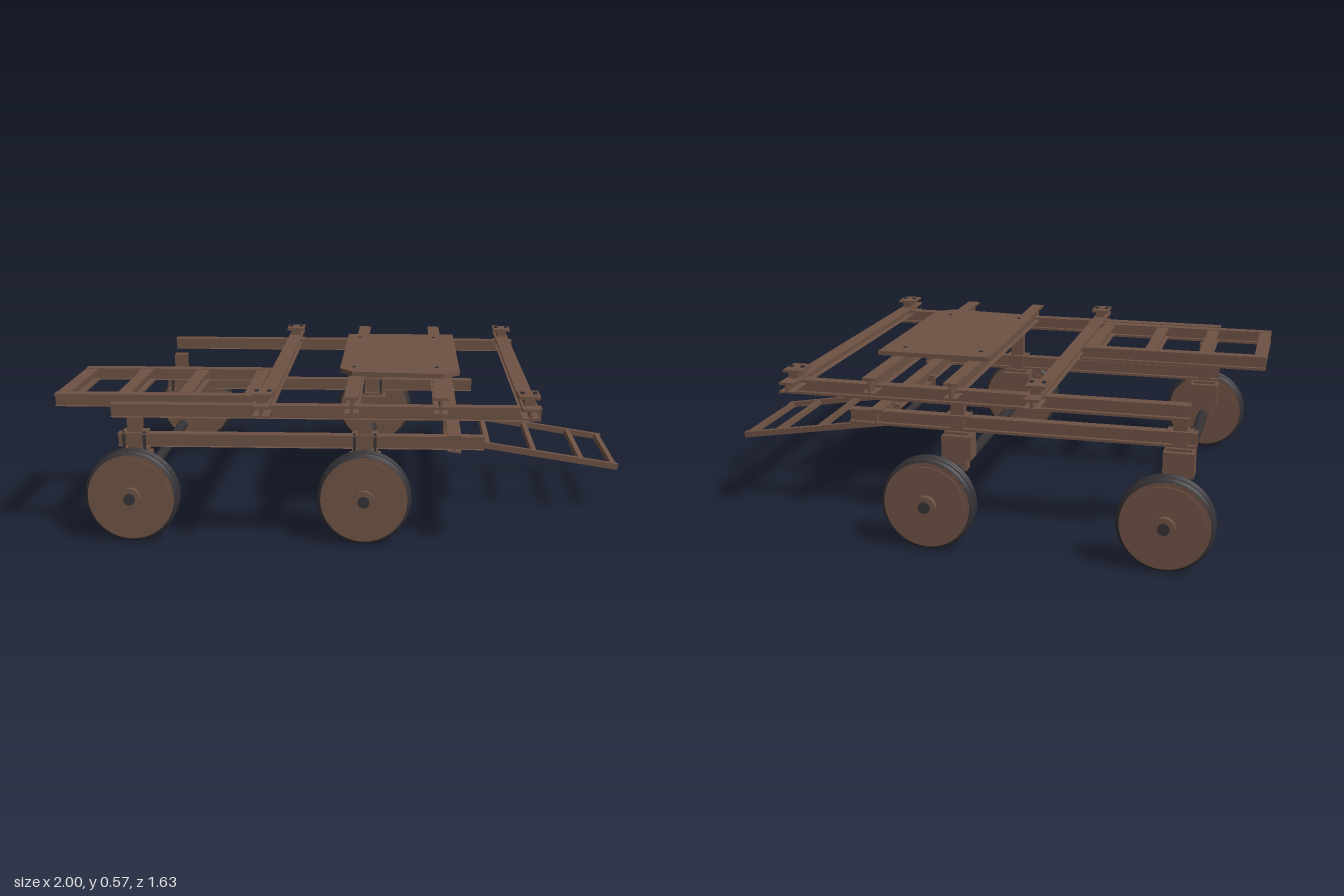
import * as THREE from 'three';

export function createModel() {
  const root = new THREE.Group();
  root.name = 'wagonChassis';
  const brown = new THREE.MeshStandardMaterial({ color: 0x6e5243 });
  brown.name = 'rustBrown';
  const dark = new THREE.MeshStandardMaterial({ color: 0x353235 });
  dark.name = 'darkRubber';

  const add = (name, geo, mat = brown, parent = root) => {
    const m = new THREE.Mesh(geo, mat);
    m.name = name;
    parent.add(m);
    return m;
  };

  // box given by its limits on each axis
  const box = (name, x0, x1, y0, y1, z0, z1, mat = brown) =>
    add(name, new THREE.BoxGeometry(x1 - x0, y1 - y0, z1 - z0), mat)
      .position.set((x0 + x1) / 2, (y0 + y1) / 2, (z0 + z1) / 2);

  // I-section girder running along z, centred on its length
  const girder = (w, h, len, t = 0.009) => {
    const a = w / 2, b = h / 2, c = t / 2;
    const half = [[-a, -b], [a, -b], [a, -b + t], [c, -b + t], [c, b - t], [a, b - t]];
    const pts = [...half, ...half.map(([x, y]) => [-x, -y])].slice(1);
    // second half mirrors the first, so the outline closes on itself
    const shape = new THREE.Shape(pts.map(([x, y]) => new THREE.Vector2(x, y)));
    return new THREE.ExtrudeGeometry(shape, { depth: len, bevelEnabled: false }).translate(0, 0, -len / 2);
  };
  const beamX = (name, x0, x1, y0, y1, z, w) =>
    add(name, girder(w, y1 - y0, x1 - x0).rotateY(Math.PI / 2)).position.set((x0 + x1) / 2, (y0 + y1) / 2, z);
  const beamZ = (name, x, y0, y1, z0, z1, w) =>
    add(name, girder(w, y1 - y0, z1 - z0)).position.set(x, (y0 + y1) / 2, (z0 + z1) / 2);

  const bolt = (x, y, z) =>
    add('bolt', new THREE.CylinderGeometry(0.008, 0.008, 0.008, 6), dark).position.set(x, y, z);

  // lathe about z from [radius, z] pairs
  const latheZ = (pts, n = 40) =>
    new THREE.LatheGeometry(pts.map(([r, z]) => new THREE.Vector2(r, z)), n).rotateX(Math.PI / 2);

  // ---- wheels and axles
  const tyre = latheZ([[0.14, -0.034], [0.152, -0.034], [0.16, -0.026], [0.163, -0.02], [0.163, -0.012],
    [0.156, -0.01], [0.156, -0.006], [0.163, -0.004], [0.163, 0.004], [0.156, 0.006], [0.156, 0.01],
    [0.163, 0.012], [0.163, 0.02], [0.16, 0.026], [0.152, 0.034], [0.14, 0.034]]);
  const cyl = (r, len, n = 24) => new THREE.CylinderGeometry(r, r, len, n).rotateX(Math.PI / 2);
  const axleXs = [-0.74, 0.065];
  const wheelY = 0.163;
  for (const x of axleXs) {
    add('axle', cyl(0.02, 1.42), dark).position.set(x, wheelY, -0.06);
    for (const [z, out] of [[0.631, 1], [-0.751, -1]]) {
      const wheel = new THREE.Group();
      wheel.name = 'wheel';
      wheel.position.set(x, wheelY, z);
      wheel.rotation.y = out > 0 ? 0 : Math.PI;
      root.add(wheel);
      add('tyre', tyre, dark, wheel);
      add('wheelDisc', cyl(0.15, 0.07, 40), brown, wheel);
      add('discFace', cyl(0.136, 0.08, 40), brown, wheel);
      add('hub', cyl(0.037, 0.118), brown, wheel);
      add('axleTip', cyl(0.02, 0.01), dark, wheel).position.z = 0.062;
    }
  }

  // ---- lower frame with axle blocks and posts
  for (const z of [-0.385, 0.55]) {
    beamX('lowerRail', -0.8, 0.48, 0.31, 0.365, z, 0.042);
    for (const x of axleXs) {
      box('axleBlock', x - 0.055, x + 0.055, 0.205, 0.295, z - 0.04, z + 0.04);
      box('blockCap', x - 0.035, x + 0.035, 0.16, 0.21, z - 0.025, z + 0.025);
      box('post', x - 0.025, x + 0.025, 0.29, 0.465, z - 0.02, z + 0.02);
      box('railClampTop', x - 0.045, x + 0.045, 0.365, 0.371, z - 0.035, z + 0.035);
      box('railClampBottom', x - 0.045, x + 0.045, 0.3, 0.31, z - 0.035, z + 0.035);
      for (const s of [-1, 1]) box('clampBolt', x + s * 0.036 - 0.005, x + s * 0.036 + 0.005, 0.3, 0.375, z + 0.024, z + 0.032, dark);
    }
  }
  beamZ('lowerCrossBeam', 0.375, 0.306, 0.37, -0.41, 0.575, 0.048);

  // ---- upper rails and crossbeams
  for (const z of [-0.535, 0.705]) beamX('upperRail', -0.785, 0.655, 0.453, 0.507, z, 0.043);
  for (const x of [0.027, 0.321]) beamZ('deckBeam', x, 0.485, 0.547, -0.62, 0.768, 0.048);
  for (const x of [-0.268, 0.61]) {
    beamZ('outerCrossBeam', x, 0.483, 0.523, -0.665, 0.813, 0.054);
    for (const z of [-0.56, 0.722]) {
      box('clampNeck', x - 0.018, x + 0.018, 0.52, 0.547, z - 0.04, z + 0.04);
      box('clampPlate', x - 0.035, x + 0.035, 0.545, 0.555, z - 0.05, z + 0.05);
      for (const s of [-1, 1]) bolt(x + s * 0.021, 0.557, z);
    }
  }

  // ---- deck plate with clipped corners
  const outline = [[-0.03, -0.31], [0.395, -0.31], [0.395, 0.425], [0.335, 0.482], [0.015, 0.452], [-0.03, 0.39]];
  const deck = new THREE.Shape(outline.map(([x, z]) => new THREE.Vector2(x, -z)));
  add('deckPlate', new THREE.ExtrudeGeometry(deck, { depth: 0.016, bevelEnabled: false }).rotateX(-Math.PI / 2))
    .position.y = 0.552;
  for (const x of [0.02, 0.315]) for (const z of [-0.23, 0.37]) bolt(x, 0.567, z);

  // ---- side step frame
  for (const z of [0.163, 0.603]) beamX('stepFrameRail', -1, -0.285, 0.465, 0.517, z, 0.044);
  for (const x of [-0.977, -0.765, -0.555, -0.328]) beamZ('stepFrameRung', x, 0.467, 0.515, 0.16, 0.606, 0.046);

  // ---- sloping drawbar ladder
  const x0 = 0.36, y0 = 0.268, x1 = 0.998, y1 = 0.168;
  const slope = Math.atan2(y1 - y0, x1 - x0);
  for (const z of [-0.213, 0.227]) {
    const rail = add('drawbarRail', new THREE.BoxGeometry(Math.hypot(x1 - x0, y1 - y0), 0.022, 0.02));
    rail.position.set((x0 + x1) / 2, (y0 + y1) / 2, z);
    rail.rotation.z = slope;
    box('drawbarBracket', 0.345, 0.375, 0.255, 0.34, z - 0.01, z + 0.01);
    box('bracketFoot', 0.345, 0.4, 0.292, 0.308, z - 0.012, z + 0.012);
  }
  for (const x of [0.512, 0.685, 0.862, 0.982]) {
    const rung = add('drawbarRung', new THREE.BoxGeometry(0.02, 0.02, 0.44));
    rung.position.set(x, y0 + (x - x0) * Math.tan(slope), 0.007);
    rung.rotation.z = slope;
  }
  add('drawbarPivot', cyl(0.015, 0.48, 16), dark).position.set(0.36, 0.27, 0.007);

  return root;
}
